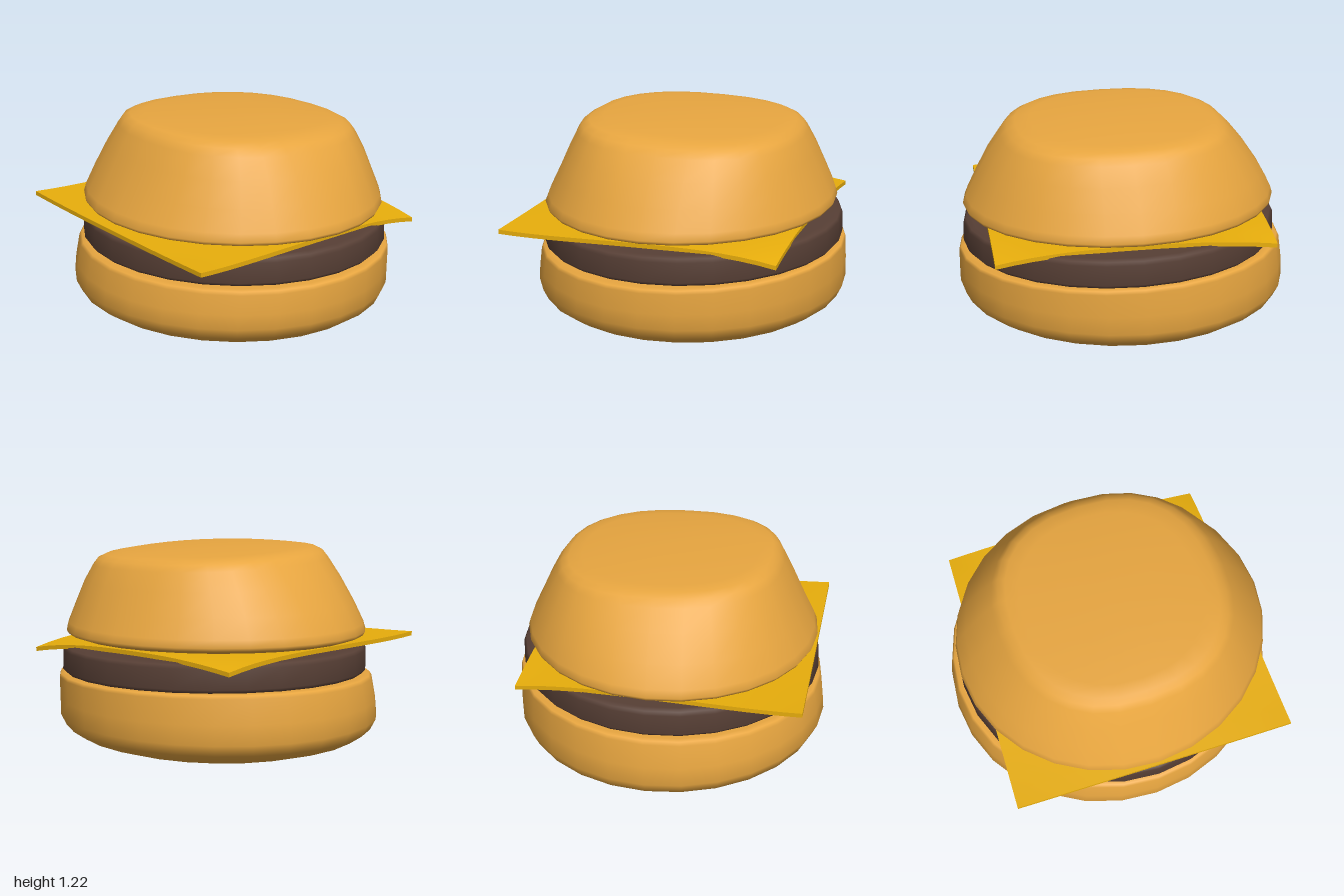
import * as THREE from 'three';

const SIDES = 28;

// Closed loft from bottom to top. Each ring:
// [y, radiusX, radiusZ, centreX, centreZ, slopeX, slopeZ, roundness (2 = ellipse)]
function loft(name, color, rings) {
  const pos = [], index = [];
  const bend = (v, n) => Math.sign(v) * Math.abs(v) ** (2 / n);
  for (const [y, rx, rz, cx = 0, cz = 0, sx = 0, sz = 0, n = 2] of rings) {
    for (let i = 0; i < SIDES; i++) {
      const a = (i / SIDES) * Math.PI * 2;
      const x = cx + rx * bend(Math.cos(a), n);
      const z = cz + rz * bend(Math.sin(a), n);
      pos.push(x, y + sx * x + sz * z, z);
    }
  }
  for (let r = 0; r < rings.length - 1; r++) {
    for (let i = 0; i < SIDES; i++) {
      const j = (i + 1) % SIDES;
      const a = r * SIDES + i, b = r * SIDES + j, c = a + SIDES, d = b + SIDES;
      index.push(a, c, b, b, c, d);
    }
  }
  // cap both ends with a centre point
  const last = (rings.length - 1) * SIDES;
  const bottom = pos.length / 3, top = bottom + 1;
  for (const [y, , , cx = 0, cz = 0, sx = 0, sz = 0] of [rings[0], rings[rings.length - 1]]) {
    pos.push(cx, y + sx * cx + sz * cz, cz);
  }
  for (let i = 0; i < SIDES; i++) {
    const j = (i + 1) % SIDES;
    index.push(bottom, i, j, top, last + j, last + i);
  }
  const geo = new THREE.BufferGeometry();
  geo.setAttribute('position', new THREE.Float32BufferAttribute(pos, 3));
  geo.setIndex(index);
  geo.computeVertexNormals();
  const mesh = new THREE.Mesh(geo, new THREE.MeshStandardMaterial({ color }));
  mesh.name = name;
  return mesh;
}

// Square slice resting on the patty, its four corners drooping by different amounts
function cheeseSlice() {
  const geo = new THREE.BoxGeometry(2, 0.025, 2, 16, 1, 16);
  const p = geo.attributes.position;
  const corners = { // x, y, z
    backLeft: [-0.86, 0.662, -0.85], backRight: [0.79, 0.625, -0.77],
    frontLeft: [-0.9, 0.625, 0.855], frontRight: [0.745, 0.58, 0.83],
  };
  for (let i = 0; i < p.count; i++) {
    const u = p.getX(i), v = p.getZ(i);
    const weights = {
      backLeft: (1 - u) * (1 - v) / 4, backRight: (1 + u) * (1 - v) / 4,
      frontLeft: (1 - u) * (1 + v) / 4, frontRight: (1 + u) * (1 + v) / 4,
    };
    let x = 0, y = 0, z = 0;
    for (const k in corners) {
      x += corners[k][0] * weights[k];
      y += corners[k][1] * weights[k];
      z += corners[k][2] * weights[k];
    }
    const rest = 0.645 + 0.012 * x - 0.02 * z;
    const droop = Math.abs(u * v) ** 2.5;
    p.setXYZ(i, x, p.getY(i) + rest + (y - rest) * droop, z);
  }
  geo.computeVertexNormals();
  const mesh = new THREE.Mesh(geo, new THREE.MeshStandardMaterial({ color: 0xe8ae0c }));
  mesh.name = 'cheeseSlice';
  return mesh;
}

export function createModel() {
  const group = new THREE.Group();
  group.name = 'burger';
  const BUN = 0xe8a640;

  // bottom bun: rounded underside, slightly tilted top
  group.add(loft('bottomBun', BUN, [
    [0.003, 0.25, 0.27],
    [0.018, 0.53, 0.56],
    [0.045, 0.72, 0.76],
    [0.085, 0.84, 0.89],
    [0.135, 0.912, 0.965],
    [0.2, 0.943, 0.998],
    [0.3, 0.938, 0.995, 0.004, 0.004, 0.01, -0.01],
    [0.43, 0.927, 0.984, 0.012, 0.015, 0.02, -0.022],
    [0.449, 0.917, 0.972, 0.014, 0.017, 0.02, -0.022],
    [0.455, 0.89, 0.945, 0.014, 0.017, 0.02, -0.022],
    [0.455, 0.5, 0.53, 0.014, 0.017, 0.02, -0.022],
  ]));

  // patty: flat disc with rounded rims
  const patty = [
    [0.456, 0.5, 0.53], [0.456, 0.85, 0.89], [0.464, 0.89, 0.93],
    [0.485, 0.908, 0.948], [0.6, 0.904, 0.944], [0.62, 0.892, 0.93],
    [0.63, 0.86, 0.9], [0.632, 0.5, 0.53],
  ].map(([y, rx, rz]) => [y, rx, rz, 0.012, 0.022, 0.012, -0.018]);
  group.add(loft('patty', 0x573f35, patty));

  group.add(cheeseSlice());

  // top bun: wide rim narrowing to a squarish, tilted crown
  group.add(loft('topBun', BUN, [
    [0.665, 0.4, 0.42, 0, 0.02, 0.008, -0.012],
    [0.668, 0.7, 0.75, 0, 0.02, 0.008, -0.012],
    [0.678, 0.82, 0.88, 0, 0.02, 0.01, -0.015],
    [0.695, 0.868, 0.932, 0, 0.022, 0.01, -0.015],
    [0.715, 0.88, 0.943, 0, 0.022, 0.01, -0.015],
    [0.76, 0.862, 0.926, 0.003, 0.02, 0.008, -0.015, 2.03],
    [0.88, 0.802, 0.862, 0.009, 0.023, 0, -0.015, 2.1],
    [1.02, 0.735, 0.775, 0.015, 0.035, -0.01, -0.02, 2.2],
    [1.13, 0.676, 0.69, 0.018, 0.042, -0.02, -0.023, 2.3],
    [1.17, 0.645, 0.647, 0.018, 0.043, -0.026, -0.023, 2.4],
    [1.192, 0.605, 0.6, 0.018, 0.04, -0.028, -0.02, 2.4],
    [1.204, 0.53, 0.52, 0.015, 0.03, -0.028, -0.015, 2.3],
    [1.216, 0.3, 0.3, 0.01, 0.01, -0.026, -0.01, 2.1],
    [1.219, 0.1, 0.1, 0, 0, -0.024, -0.008],
  ]));

  return group;
}
